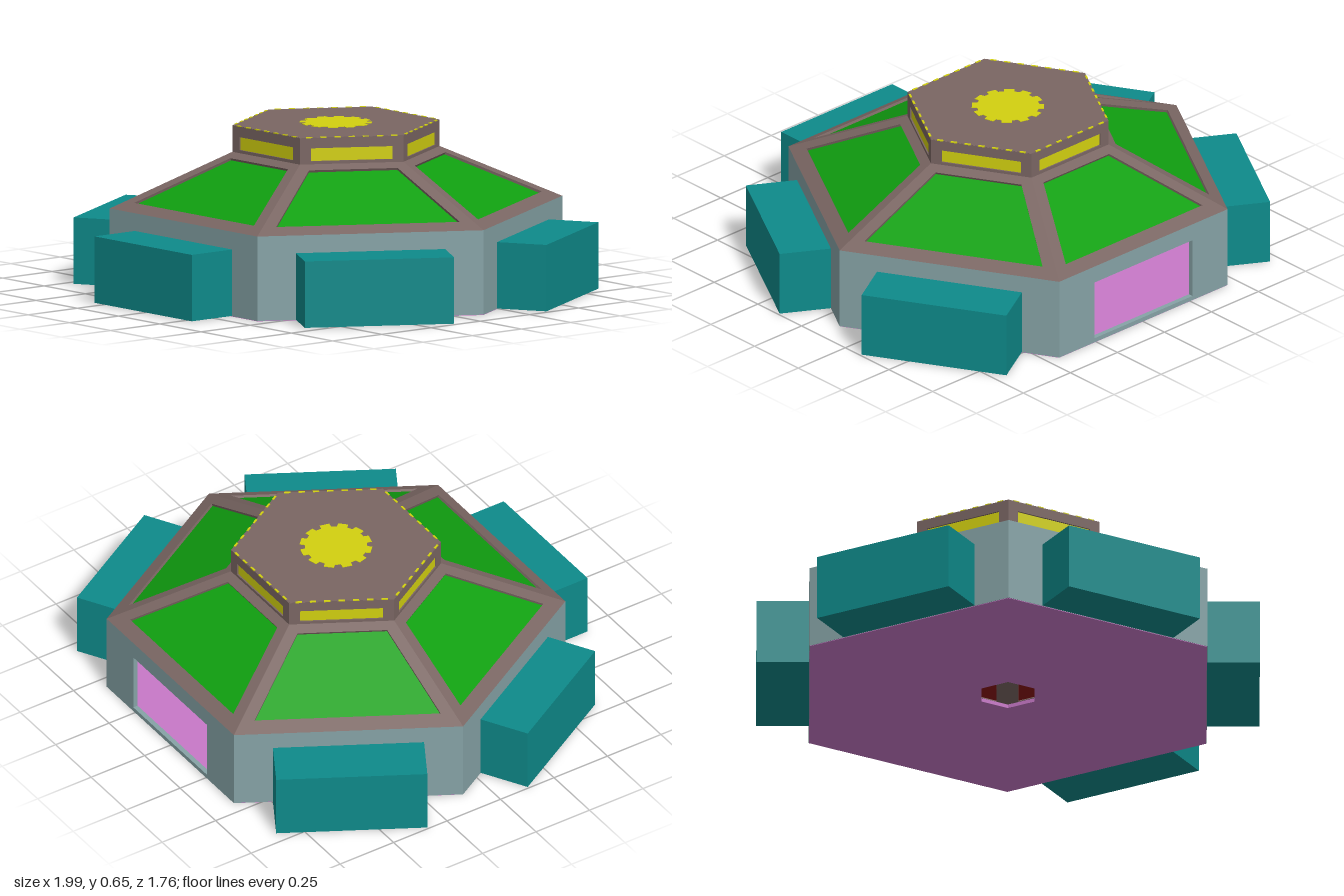
import * as THREE from 'three';

const mat = (color) => new THREE.MeshStandardMaterial({ color, flatShading: true });
const M = {
  wall: mat(0x86a3a6), pod: mat(0x0e8a8a), frame: mat(0x7a6663), green: mat(0x10a010),
  gold: mat(0xd2d010), floor: mat(0xc878c8), red: mat(0x8a1515),
};
const R = 0.895, A = R * Math.sqrt(3) / 2;         // base radius and apothem
const r = 0.41, a = r * Math.sqrt(3) / 2;          // crown radius and apothem
const WALL = 0.335, CROWN = 0.545, TOP = 0.65;

function mesh(name, geometry, material, parent) {
  const m = new THREE.Mesh(geometry, material);
  m.name = name;
  parent.add(m);
  return m;
}

// Trapezoid between heights y0 and y1 with bottom and top half widths b and t
function trapezoid(b, t, y0, y1) {
  return [[-b, y0], [b, y0], [t, y1], [-t, y1]].map(([x, y]) => new THREE.Vector2(x, y));
}

// Thin slab whose outer face lies on z = 0, with an optional opening
function slab(outline, opening, depth = 0.02) {
  const shape = new THREE.Shape(outline);
  if (opening) shape.holes.push(new THREE.Path(opening));
  return new THREE.ExtrudeGeometry(shape, { depth, bevelEnabled: false }).translate(0, 0, -depth);
}

// Horizontal hexagonal plate, corners on the x axis
function hexPlate(radius, depth, holeRadius = 0) {
  const ring = (q) => Array.from({ length: 6 }, (_, i) =>
    new THREE.Vector2(q * Math.cos(i * Math.PI / 3), q * Math.sin(i * Math.PI / 3)));
  const shape = new THREE.Shape(ring(radius));
  if (holeRadius) shape.holes.push(new THREE.Path(ring(holeRadius)));
  return new THREE.ExtrudeGeometry(shape, { depth, bevelEnabled: false }).rotateX(-Math.PI / 2);
}

function createSide(i) {
  const side = new THREE.Group();
  side.name = 'side' + i;
  side.rotation.y = i * Math.PI / 3;
  const isDoor = i === 3;

  // Outer wall, open at the back for the doorway
  mesh(isDoor ? 'doorWall' : 'wall',
    slab(trapezoid(R / 2, R / 2, 0.002, WALL), isDoor && trapezoid(0.26, 0.26, 0.02, 0.265)),
    M.wall, side).position.z = A;

  // Projecting pod on every side but the doorway
  if (!isDoor) {
    mesh('pod', new THREE.BoxGeometry(0.59, 0.262, 0.22), M.pod, side)
      .position.set(0, 0.134, 0.98 - 0.11);
  }

  // Sloping roof frame with a recessed panel, red on its inner face
  const roof = new THREE.Group();
  roof.name = 'roofSection';
  roof.position.set(0, WALL, A);
  roof.rotation.x = -Math.atan2(A - a, CROWN - WALL);
  side.add(roof);
  const slope = Math.hypot(A - a, CROWN - WALL);
  const pane = trapezoid(0.363, 0.175, 0.06, slope - 0.04);
  mesh('roofFrame', slab(trapezoid(R / 2, r / 2, 0, slope), pane), M.frame, roof);
  const paneGeometry = new THREE.ShapeGeometry(new THREE.Shape(pane));
  mesh('roofPanel', paneGeometry, M.green, roof).position.z = -0.01;
  const inner = mesh('innerRoofPanel', paneGeometry, M.red, roof);
  inner.position.z = -0.014;
  inner.rotation.y = Math.PI;

  // Crown wall with a recessed window
  const crown = new THREE.Group();
  crown.name = 'crownSection';
  crown.position.z = a;
  side.add(crown);
  const glass = trapezoid(0.162, 0.162, 0.557, 0.608);
  mesh('crownWall', slab(trapezoid(r / 2, r / 2, CROWN - 0.005, TOP - 0.001), glass), M.frame, crown);
  mesh('crownWindow', new THREE.ShapeGeometry(new THREE.Shape(glass)), M.gold, crown).position.z = -0.006;

  // Dashed trim along the top edge
  for (let k = 0; k < 7; k++) {
    mesh('edgeTrim', new THREE.BoxGeometry(0.025, 0.004, 0.008), M.gold, side)
      .position.set((k - 3) * 0.056, TOP, a - 0.0035);
  }
  return side;
}

// Flat twelve-toothed emblem plate
function toothedDisc() {
  const points = [];
  for (let k = 0; k < 12; k++) {
    const mid = (k + 0.5) * Math.PI / 6;
    for (const [offset, q] of [[-0.17, 0.122], [-0.14, 0.142], [0.14, 0.142], [0.17, 0.122]]) {
      points.push(new THREE.Vector2(q * Math.cos(mid + offset), q * Math.sin(mid + offset)));
    }
  }
  return new THREE.ExtrudeGeometry(new THREE.Shape(points), { depth: 0.003, bevelEnabled: false })
    .rotateX(-Math.PI / 2);
}

export function createModel() {
  const model = new THREE.Group();
  model.name = 'hexagonalBuilding';
  const body = new THREE.Group();
  body.name = 'body';
  body.position.z = -0.105;
  model.add(body);

  mesh('floor', hexPlate(R - 0.002, 0.015, 0.12), M.floor, body);
  for (let i = 0; i < 6; i++) body.add(createSide(i));
  mesh('crownTop', hexPlate(r - 0.002, 0.015), M.frame, body).position.y = TOP - 0.015;
  mesh('topDisc', toothedDisc(), M.gold, body).position.y = TOP - 0.001;
  return model;
}
